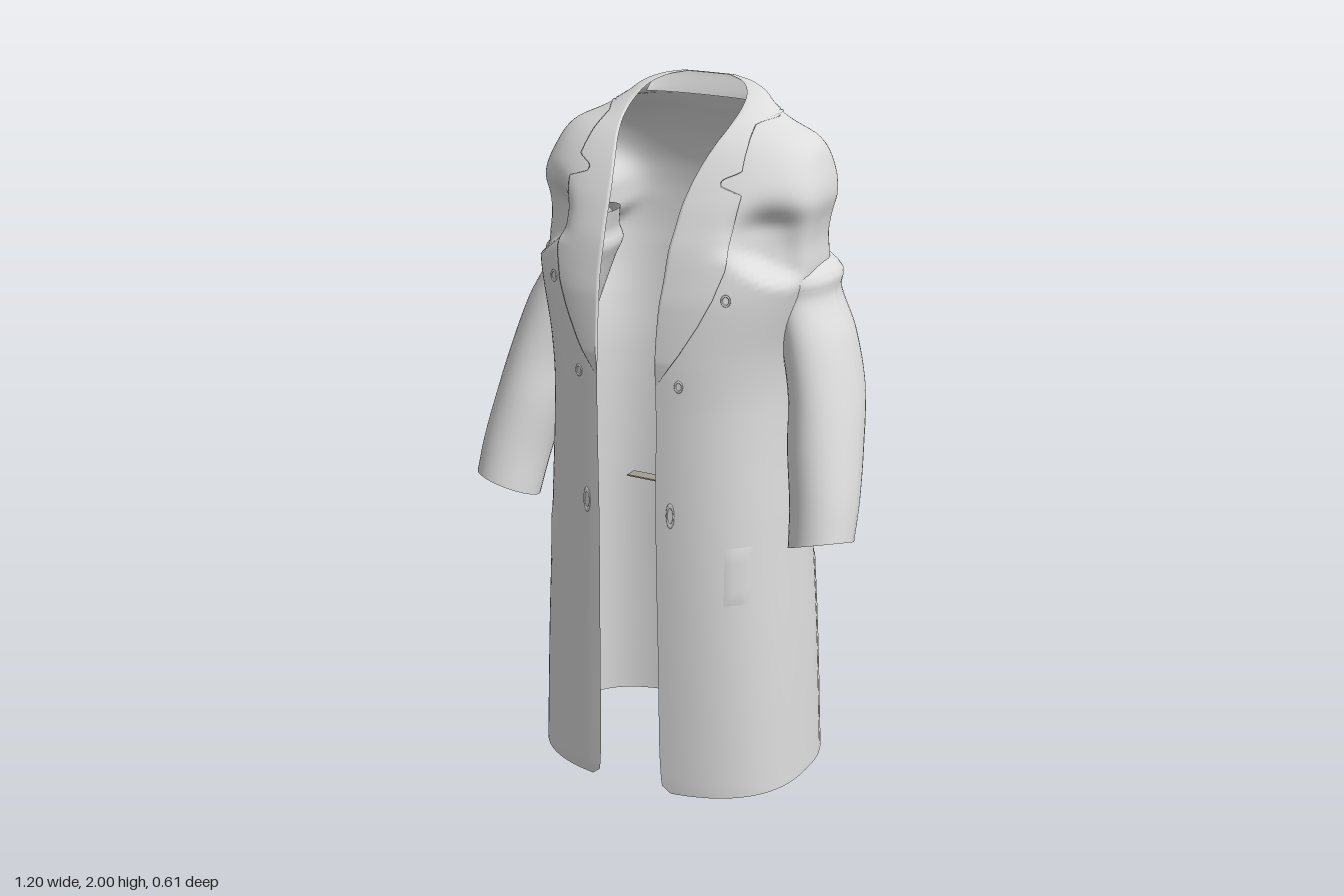
import * as THREE from 'three';

const cloth = new THREE.MeshStandardMaterial({ color: 0xdcdcdc, side: THREE.DoubleSide });
cloth.name = 'grey cloth';
const brown = new THREE.MeshStandardMaterial({ color: 0xa39d90 });
brown.name = 'brown grey';

// Coat outline by height: y, half width, back z, front z, front edge x, z of widest point
const BODY = [
  [0, .41, -.29, .295, .13, -.02], [.025, .409, -.29, .3, .103, -.02],
  [.4, .392, -.285, .303, .095, -.02], [.8, .368, -.272, .306, .09, -.02],
  [1.15, .35, -.272, .306, .092, -.02], [1.3, .36, -.28, .305, .09, -.02],
  [1.45, .395, -.29, .288, .093, -.02], [1.52, .41, -.297, .27, .098, -.025],
  [1.6, .405, -.302, .245, .1, -.03], [1.65, .41, -.302, .222, .105, -.035],
  [1.72, .424, -.294, .185, .112, -.04], [1.8, .402, -.27, .13, .13, -.06],
  [1.86, .365, -.24, .075, .15, -.08], [1.9, .285, -.215, .02, .163, -.1],
  [1.94, .22, -.193, -.05, .165, -.12], [1.97, .185, -.182, -.105, .15, -.14],
  [1.99, .135, -.176, -.15, .11, -.16], [2, .08, -.172, -.168, .06, -.17],
];

// Sleeve by height: y, centre x, centre z, radius x, radius z, tilt
const SLEEVE = [
  [.79, .508, .125, .09, .095, 1], [.9, .498, .085, .094, .11, .7], [1.05, .472, .03, .1, .13, .3],
  [1.185, .45, -.018, .097, .145, 0], [1.34, .405, -.05, .094, .143, 0],
  [1.45, .36, -.065, .085, .138, 0], [1.5, .35, -.07, .095, .15, 0],
  [1.53, .34, -.07, .075, .13, 0], [1.6, .3, -.07, .05, .08, 0],
];

// Lapel and collar outline: y, outer x
const LAPEL = [[1.24, .096], [1.33, .155], [1.41, .2], [1.48, .232], [1.555, .254], [1.66, .262], [1.745, .262],
  [1.765, .2], [1.78, .2], [1.8, .245], [1.86, .235], [1.915, .218]];

// Smooth interpolation in a table whose first column is the key
function sample(table, y) {
  let i = 0;
  while (i < table.length - 2 && y > table[i + 1][0]) i++;
  const slope = (k, c) => {
    const a = table[Math.max(0, k - 1)], b = table[Math.min(table.length - 1, k + 1)];
    return (b[c] - a[c]) / (b[0] - a[0]);
  };
  const p = table[i], q = table[i + 1], h = q[0] - p[0];
  const t = THREE.MathUtils.clamp((y - p[0]) / h, 0, 1), t2 = t * t, t3 = t2 * t;
  return p.map((v, c) => c === 0 ? y
    : v * (2 * t3 - 3 * t2 + 1) + q[c] * (3 * t2 - 2 * t3)
      + h * slope(i, c) * (t3 - 2 * t2 + t) + h * slope(i + 1, c) * (t3 - t2));
}

function linear(table, y) {
  let i = 0;
  while (i < table.length - 2 && y > table[i + 1][0]) i++;
  const [a, b] = [table[i], table[i + 1]];
  return THREE.MathUtils.lerp(a[1], b[1], THREE.MathUtils.clamp((y - a[0]) / (b[0] - a[0]), 0, 1));
}

// Cross-section exponent: boxier across the back, round at the collar
const squareness = (y, back) => THREE.MathUtils.lerp(back ? 3 : 2.5, 2, THREE.MathUtils.smoothstep(y, 1.8, 1.95));

function angleAt(x, y) {
  const W = sample(BODY, y)[1];
  return Math.acos(Math.pow(Math.min(1, x / W), squareness(y, false) / 2));
}

// Point on the coat; angle runs from -PI/2 at the back to the front edge
function coatPoint(y, angle, side = 1, off = 0) {
  const [, W, zb, zf, ex, zc] = sample(BODY, y), n = squareness(y, angle < 0);
  const c = Math.pow(Math.max(0, Math.cos(angle)), 2 / n), s = Math.pow(Math.abs(Math.sin(angle)), 2 / n);
  let x = (W + off) * c, z;
  if (angle < 0) z = zc + (zb - off - zc) * s;
  else z = zc + ((zf - zc) / Math.pow(1 - Math.pow(ex / W, n), 1 / n) + off) * s;
  // hollows in front of and behind the armhole, with a sloping lower lip
  const lip = 1.6 - .6 * Math.max(0, x - .26);
  const up = y < 1.64 ? THREE.MathUtils.smoothstep(y, lip - .03, lip + .02) : Math.exp(-(((y - 1.64) / .07) ** 2));
  const d = up * Math.exp(-(((x - (z > 0 ? .34 : .38)) / .07) ** 2)) * THREE.MathUtils.smoothstep(Math.abs(z + .05), .06, .16);
  x -= .04 * d;
  z -= Math.sign(z) * .055 * d;
  return [side * x, y, z];
}

// Grid surface from a rule f(row, column), both 0..1
function sheet(name, rows, cols, f, flip = false) {
  const pos = [], idx = [];
  for (let r = 0; r <= rows; r++) for (let c = 0; c <= cols; c++) pos.push(...f(r / rows, c / cols));
  for (let r = 0; r < rows; r++) for (let c = 0; c < cols; c++) {
    const a = r * (cols + 1) + c, b = a + 1, d = a + cols + 1, e = d + 1;
    if (flip) idx.push(a, b, d, b, e, d); else idx.push(a, d, b, b, d, e);
  }
  const g = new THREE.BufferGeometry();
  g.setAttribute('position', new THREE.Float32BufferAttribute(pos, 3));
  g.setIndex(idx);
  g.computeVertexNormals();
  const m = new THREE.Mesh(g, cloth);
  m.name = name;
  return m;
}

export function createModel() {
  const group = new THREE.Group();
  group.name = 'coat';

  // Open coat shell with shoulders, denser rows towards the top
  group.add(sheet('coatBody', 130, 96, (v, u) => {
    const y = 2 * (1 - Math.pow(1 - v, 1.4)), w = u * 2 - 1;
    const a = -Math.PI / 2 + Math.abs(w) * (angleAt(sample(BODY, y)[4], y) + Math.PI / 2);
    return coatPoint(y, a, Math.sign(w) || 1);
  }));

  // Inner collar stand round the back of the neck
  group.add(sheet('collarStand', 8, 40, (v, u) => {
    const w = u * 2 - 1;
    return coatPoint(1.94 + v * .058, -Math.PI / 2 * (1 - Math.abs(w)), Math.sign(w) || 1, -.045 * (1 - v));
  }, true));

  for (const side of [1, -1]) {
    const label = side > 0 ? 'left' : 'right';
    const flip = side < 0;

    // Lapel with notch, running into the collar round the neck
    group.add(sheet(label + 'LapelAndCollar', 120, 24, (v, u) => {
      const y = 1.24 + v * .758;
      const ex = sample(BODY, y)[4];
      const wrap = THREE.MathUtils.smoothstep(y, 1.905, 1.945);
      const start = THREE.MathUtils.lerp(angleAt(Math.max(linear(LAPEL, y), ex), y), -Math.PI / 2, wrap);
      const k = THREE.MathUtils.clamp((u * 24 - 1) / 22, 0, 1);
      const rim = u === 0 || u === 1 ? 0 : .007 * Math.min(1, v * 12, (1 - v) * 12);
      return coatPoint(y, THREE.MathUtils.lerp(start, angleAt(ex, y), k), side, rim);
    }, flip));

    // Sleeve, open at the cuff
    group.add(sheet(label + 'Sleeve', 48, 36, (v, u) => {
      const y = .79 + v * .81, a = u * Math.PI * 2;
      const [, cx, cz, rx, rz, tilt] = sample(SLEEVE, y);
      const x = cx + rx * Math.cos(a), z = cz + rz * Math.sin(a);
      return [side * x, y + tilt * (.026 * Math.cos(a) + .03 * Math.sin(a)), z];
    }, flip));

    // Pocket welt
    group.add(sheet(label + 'Pocket', 8, 6, (v, u) => {
      const y = .6 + v * .17;
      const rim = u === 0 || u === 1 || v === 0 || v === 1 ? 0 : .003;
      return coatPoint(y, angleAt(.325 - u * .055, y), side, rim);
    }, flip));

    // Side vent overlap
    group.add(sheet(label + 'Vent', 20, 4, (v, u) =>
      coatPoint(v * .63, -.45 + u * .04, side, u === 0 || u === 1 ? 0 : .003), flip));

    // Buttons
    for (const [x, y, w, h] of [[.265, 1.48, .011, .014], [.155, 1.24, .01, .014], [.132, .865, .01, .03]]) {
      const button = new THREE.Mesh(new THREE.TorusGeometry(1, .25, 6, 20), cloth);
      button.name = label + 'Button';
      button.scale.set(w, h, .008);
      button.position.set(...coatPoint(y, angleAt(x, y), side, .002));
      button.rotation.y = side * x * 1.2;
      group.add(button);
    }
  }

  // Thin flat bar inside, seen through the neck opening
  const bar = new THREE.Mesh(new THREE.BoxGeometry(.4, .004, .04), brown);
  bar.name = 'innerBar';
  bar.position.set(0, .81, -.06);
  group.add(bar);

  return group;
}
